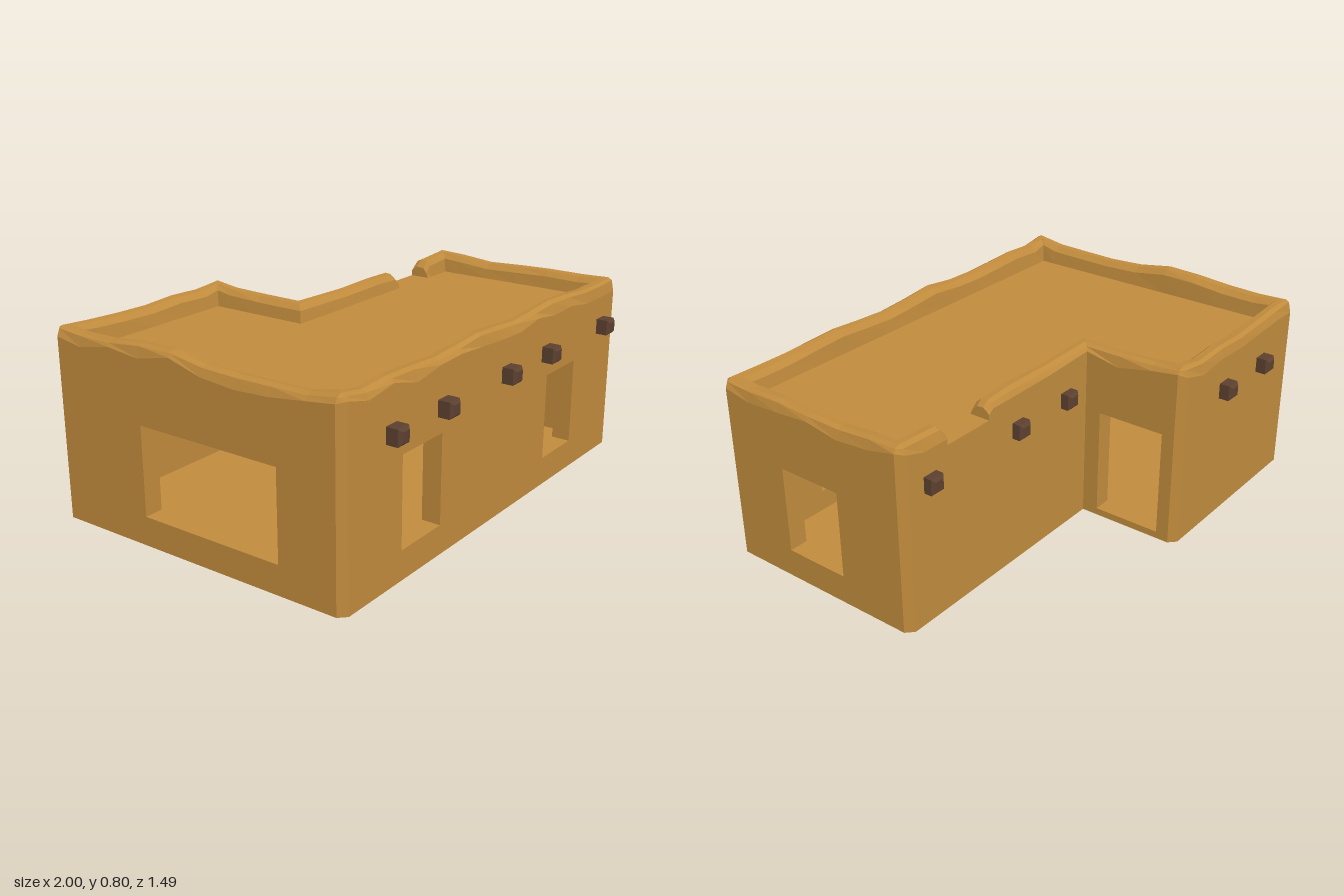
import * as THREE from 'three';

const T = 0.08;        // wall thickness
const CHAMFER = 0.03;  // worn outer corners
const ROOF = 0.69;     // roof deck level
const FLOOR = 0.03;
const SILL = 0.12, HEAD = 0.485;

// Footprint corners (x, z). Each wall runs to the next corner.
// holes: [start, end, bottom, top] along the wall; top: parapet height at the corner;
// crest: parapet heights spaced evenly along the wall.
const corners = [
  { p: [1, -0.24], top: 0.775, holes: [[0.33, 0.615, SILL, HEAD]], crest: [0.77, 0.757, 0.762, 0.768, 0.765] },
  { p: [1, 0.68], top: 0.77, holes: [[0.38, 0.62, SILL, HEAD], [1.41, 1.66, SILL, HEAD]],
    crest: [0.767, 0.768, 0.778, 0.785, 0.775, 0.768, 0.778, 0.79, 0.775, 0.77, 0.776, 0.782, 0.774] },
  { p: [-1, 0.68], top: 0.792, holes: [[0.28, 0.92, SILL, HEAD]], crest: [0.773, 0.77, 0.768, 0.774, 0.798, 0.795, 0.78, 0.777] },
  { p: [-1, -0.69], top: 0.785, holes: [], crest: [0.778, 0.77, 0.766, 0.774, 0.768] },
  { p: [-0.09, -0.69], top: 0.782, holes: [[0.085, 0.38, FLOOR, HEAD]], crest: [0.77, 0.765] },
  { p: [-0.09, -0.24], top: 0.765, concave: true, holes: [], crest: [] },
];

// Wall directions and inward normals
corners.forEach((c, i) => {
  const q = corners[(i + 1) % corners.length].p;
  const dx = q[0] - c.p[0], dz = q[1] - c.p[1];
  c.len = Math.hypot(dx, dz);
  c.d = [dx / c.len, dz / c.len];
  c.n = [-c.d[1], c.d[0]];
});
const before = i => corners[(i + corners.length - 1) % corners.length];
const add = (p, ...terms) => terms.reduce((s, [v, k]) => [s[0] + v[0] * k, s[1] + v[1] * k], p);

function seeded(seed) {
  return () => (seed = (seed * 16807) % 2147483647) / 2147483647;
}

// Extrude a plan outline (x, z) between two heights
function slab(points, y0, y1) {
  const shape = new THREE.Shape(points.map(([x, z]) => new THREE.Vector2(x, z)));
  const g = new THREE.ExtrudeGeometry(shape, { depth: y1 - y0, bevelEnabled: false });
  return g.rotateX(Math.PI / 2).translate(0, y1, 0);
}

// Straight wall with rectangular openings
function wallGeometry(c, next) {
  const rect = (Type, a, b, y0, y1) => new Type([[a, y0], [b, y0], [b, y1], [a, y1]].map(v => new THREE.Vector2(...v)));
  const shape = rect(THREE.Shape, c.concave ? 0 : T, c.len - (next.concave ? 0 : T), 0, ROOF);
  shape.holes = c.holes.map(h => rect(THREE.Path, ...h));
  const g = new THREE.ExtrudeGeometry(shape, { depth: T, bevelEnabled: false });
  return g.rotateY(Math.atan2(-c.d[1], c.d[0])).translate(c.p[0], 0, c.p[1]);
}

// Uneven rounded parapet swept round the walls, open at one stretch
function parapetGeometry() {
  const rand = seeded(41);
  const rings = [];
  const addRing = (place, top) => {
    const shoulder = top - 0.022 - rand() * 0.035;
    const crown = 0.022 + rand() * 0.014;
    const section = [
      [0, ROOF], [0, shoulder], [crown * 0.4, top - 0.01], [crown, top],
      [0.055 + rand() * 0.008, top - 0.003], [T, top - 0.025], [T + 0.008, ROOF],
    ];
    rings.push(section.map(([t, y]) => { const [x, z] = place(t); return [x, y, z]; }));
  };
  const along = (c, u) => t => add(c.p, [c.d, u], [c.n, t]);
  const corner = i => {
    const c = corners[i], n1 = before(i).n, n2 = c.n;
    const cut = t => (c.concave ? 0 : Math.max(0, CHAMFER - t));
    const sides = c.concave ? [n2] : [n2, n1];
    sides.forEach(s => addRing(t => add(c.p, [n1, t], [n2, t], [s, cut(t)]), c.top));
  };
  const back = corners[5];

  addRing(along(back, 0.85), 0.735);
  addRing(along(back, 0.875), 0.765);
  addRing(along(back, 0.97), 0.77);
  corners.forEach((c, i) => {
    corner(i);
    c.crest.forEach((top, k) => addRing(along(c, c.len * (k + 1) / (c.crest.length + 1)), top));
  });
  addRing(along(back, 0.25), 0.758);
  addRing(along(back, 0.45), 0.762);
  addRing(along(back, 0.595), 0.757);
  addRing(along(back, 0.62), 0.735);

  const pos = [];
  const tri = (a, b, c) => pos.push(...a, ...b, ...c);
  for (let i = 0; i + 1 < rings.length; i++) {
    const r = rings[i], s = rings[i + 1];
    for (let j = 0; j + 1 < r.length; j++) {
      tri(r[j], r[j + 1], s[j + 1]);
      tri(r[j], s[j + 1], s[j]);
    }
  }
  const first = rings[0], last = rings[rings.length - 1];
  for (let j = 1; j + 1 < first.length; j++) {
    tri(first[0], first[j + 1], first[j]);
    tri(last[0], last[j], last[j + 1]);
  }
  const g = new THREE.BufferGeometry();
  g.setAttribute('position', new THREE.Float32BufferAttribute(pos, 3));
  g.computeVertexNormals();
  return g;
}

// Square beam end with bevelled edges, pointing along +z
function beamGeometry() {
  const h = 0.0205;
  const shape = new THREE.Shape([[-h, -h], [h, -h], [h, h], [-h, h]].map(v => new THREE.Vector2(...v)));
  return new THREE.ExtrudeGeometry(shape, {
    depth: 0.055, bevelSize: 0.012, bevelThickness: 0.012, bevelSegments: 1,
  });
}

export function createModel() {
  const adobe = new THREE.MeshStandardMaterial({ color: 0xc08b3d });
  adobe.name = 'adobe';
  const timber = new THREE.MeshStandardMaterial({ color: 0x5c4030 });
  timber.name = 'darkTimber';

  const model = new THREE.Group();
  model.name = 'adobeHouse';
  const mesh = (name, geometry, material, parent = model) => {
    const m = new THREE.Mesh(geometry, material);
    m.name = name;
    parent.add(m);
    return m;
  };

  // Walls and corner posts
  const walls = new THREE.Group();
  walls.name = 'walls';
  model.add(walls);
  corners.forEach((c, i) => {
    mesh('wall', wallGeometry(c, corners[(i + 1) % corners.length]), adobe, walls);
    const n1 = before(i).n, n2 = c.n;
    const tip = c.concave ? [c.p] : [add(c.p, [n2, CHAMFER]), add(c.p, [n1, CHAMFER])];
    const plan = [...tip, add(c.p, [n1, T]), add(c.p, [n1, T], [n2, T]), add(c.p, [n2, T])];
    mesh('wallCorner', slab(plan, 0, ROOF), adobe, walls);
  });

  // Floor and flat roof inside the walls
  const inside = corners.map((c, i) => add(c.p, [before(i).n, T], [c.n, T]));
  mesh('floor', slab(inside, 0, FLOOR), adobe);
  mesh('roofDeck', slab(inside, ROOF - 0.06, ROOF), adobe);
  mesh('parapet', parapetGeometry(), adobe);

  // Projecting roof beams
  const beams = new THREE.Group();
  beams.name = 'roofBeams';
  model.add(beams);
  const beam = beamGeometry();
  const beamRow = (xs, tipZ, facing) => xs.forEach(x => {
    const b = mesh('roofBeam', beam, timber, beams);
    b.position.set(x, 0.587, tipZ - facing * 0.067);
    if (facing < 0) b.rotation.y = Math.PI;
  });
  beamRow([-0.73, -0.41, 0.04, 0.36, 0.853], 0.74, 1);
  beamRow([-0.72, -0.41], -0.745, -1);
  beamRow([0.05, 0.36, 0.858], -0.285, -1);

  return model;
}
